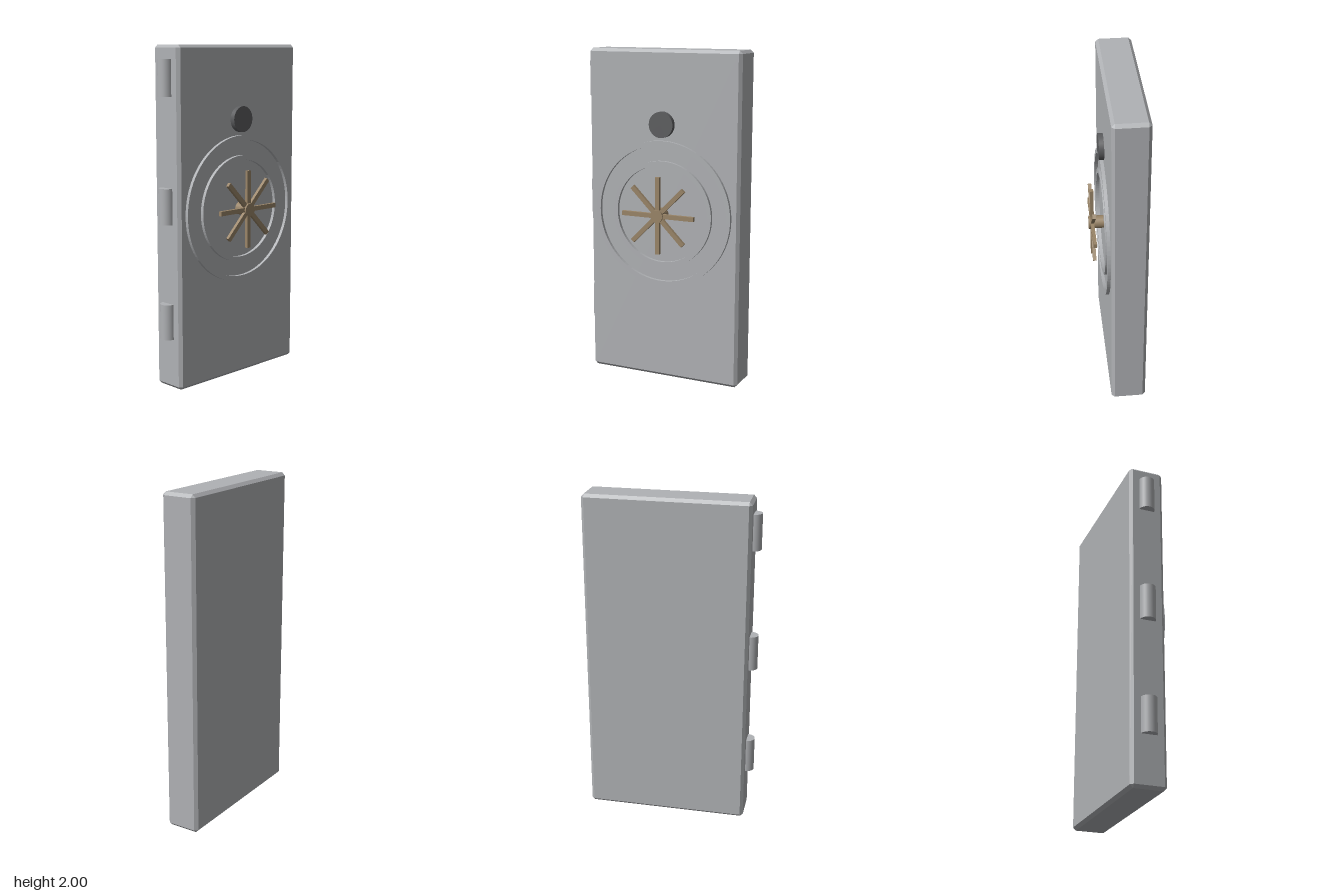
import * as THREE from 'three';
import { ConvexGeometry } from 'three/addons/geometries/ConvexGeometry.js';

const CX = 0.0225; // door centre line
const DIAL_Y = 1.03;
const FACE_Z = 0.06; // front face of the door

function material(name, color) {
  const m = new THREE.MeshStandardMaterial({ color });
  m.name = name;
  return m;
}

// Box with every edge chamfered by c
function chamferedBox(w, h, d, c) {
  const points = [];
  for (const sx of [-1, 1]) for (const sy of [-1, 1]) for (const sz of [-1, 1]) {
    const x = w / 2, y = h / 2, z = d / 2;
    points.push(
      new THREE.Vector3(sx * x, sy * (y - c), sz * (z - c)),
      new THREE.Vector3(sx * (x - c), sy * y, sz * (z - c)),
      new THREE.Vector3(sx * (x - c), sy * (y - c), sz * z));
  }
  return new ConvexGeometry(points);
}

// Flat ring, standing on the door face
function ringGeometry(outer, inner, depth) {
  const shape = new THREE.Shape().absarc(0, 0, outer, 0, Math.PI * 2, false);
  shape.holes.push(new THREE.Path().absarc(0, 0, inner, 0, Math.PI * 2, true));
  return new THREE.ExtrudeGeometry(shape, { depth, bevelEnabled: false, curveSegments: 48 });
}

// Cylinder along z between two depths
function discGeometry(radius, z0, z1, sides) {
  return new THREE.CylinderGeometry(radius, radius, z1 - z0, sides)
    .rotateX(Math.PI / 2).translate(0, 0, (z0 + z1) / 2);
}

export function createModel() {
  const model = new THREE.Group();
  model.name = 'vaultDoor';
  const steel = material('steel', 0xb0b2b5);
  const darkSteel = material('darkSteel', 0x5c5d5f);
  const bronze = material('bronze', 0x9a8568);

  const add = (name, geometry, mat, x, y, z, parent = model) => {
    const mesh = new THREE.Mesh(geometry, mat);
    mesh.name = name;
    mesh.position.set(x, y, z);
    parent.add(mesh);
    return mesh;
  };

  // Door slab
  add('doorSlab', chamferedBox(0.975, 2, 0.21, 0.018), steel, CX, 1, -0.045);

  // Hinge barrels, half sunk into the right edge
  for (const y of [0.405, 1.085, 1.815])
    add('hinge', new THREE.CylinderGeometry(0.0465, 0.0465, 0.21, 32), steel, -0.465, y, -0.045);

  // Raised rings around the handle
  add('outerRing', ringGeometry(0.44, 0.412, 0.02), steel, CX, DIAL_Y, FACE_Z);
  add('innerRing', ringGeometry(0.32, 0.293, 0.02), steel, CX, DIAL_Y, FACE_Z);

  // Combination dial
  add('combinationDial', discGeometry(0.077, 0.05, 0.09, 32), darkSteel, CX, 1.565, 0);

  // Spoked wheel handle
  const handle = new THREE.Group();
  handle.name = 'wheelHandle';
  handle.position.set(CX, DIAL_Y, 0);
  model.add(handle);
  add('hub', discGeometry(0.0385, 0.05, 0.15, 20), bronze, 0, 0, 0, handle);
  for (let i = 0; i < 8; i++) {
    const spoke = new THREE.BoxGeometry(0.213, 0.027, 0.02)
      .translate(0.1265, 0, 0).rotateZ(i * Math.PI / 4);
    add('spoke', spoke, bronze, 0, 0, 0.13, handle);
  }

  return model;
}
